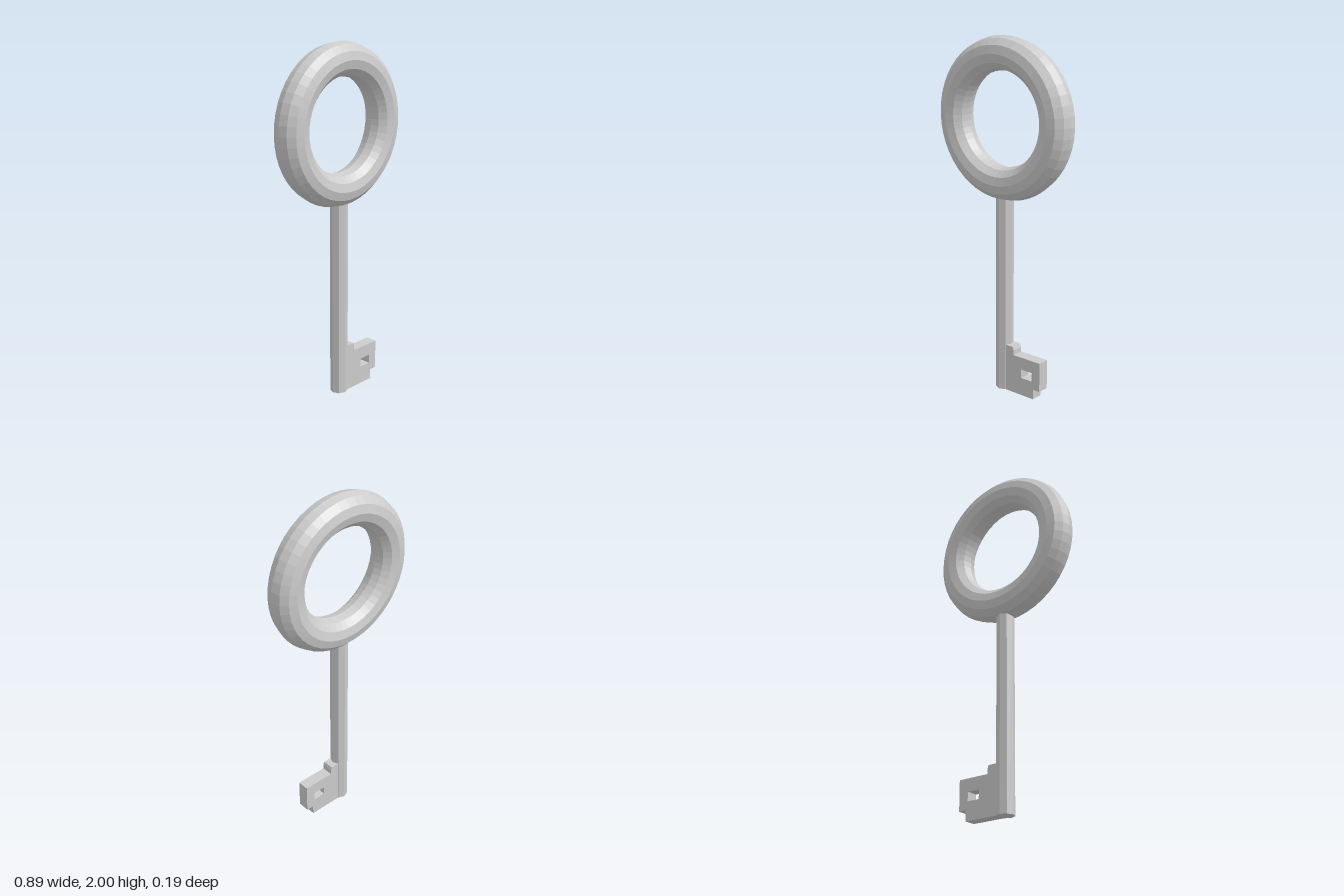
import * as THREE from 'three';

export function createModel() {
  const key = new THREE.Group();
  key.name = 'key';
  const material = new THREE.MeshStandardMaterial({ color: 0xcccccc, flatShading: true });

  const add = (name, geometry, y = 0) => {
    const mesh = new THREE.Mesh(geometry, material);
    mesh.name = name;
    mesh.position.y = y;
    key.add(mesh);
  };

  // Ring handle
  add('bow', new THREE.TorusGeometry(0.352, 0.093, 12, 48), 1.555);

  // Octagonal shaft, its top sunk into the ring
  const shaftHeight = 1.15;
  add('shaft', new THREE.CylinderGeometry(0.05, 0.05, shaftHeight, 8), shaftHeight / 2);

  // Notched bit with a rectangular window
  const outline = new THREE.Shape([
    [0.03, 0], [0.235, 0], [0.235, 0.058], [0.28, 0.058], [0.28, 0.228],
    [0.093, 0.228], [0.093, 0.255], [0.086, 0.275], [0.03, 0.275],
  ].map(([x, y]) => new THREE.Vector2(x, y)));
  outline.holes.push(new THREE.Path([
    [0.149, 0.105], [0.149, 0.156], [0.223, 0.156], [0.223, 0.105],
  ].map(([x, y]) => new THREE.Vector2(x, y))));
  const depth = 0.068;
  const bit = new THREE.ExtrudeGeometry(outline, { depth, bevelEnabled: false });
  bit.translate(0, 0, -depth / 2);
  add('bit', bit);

  return key;
}
